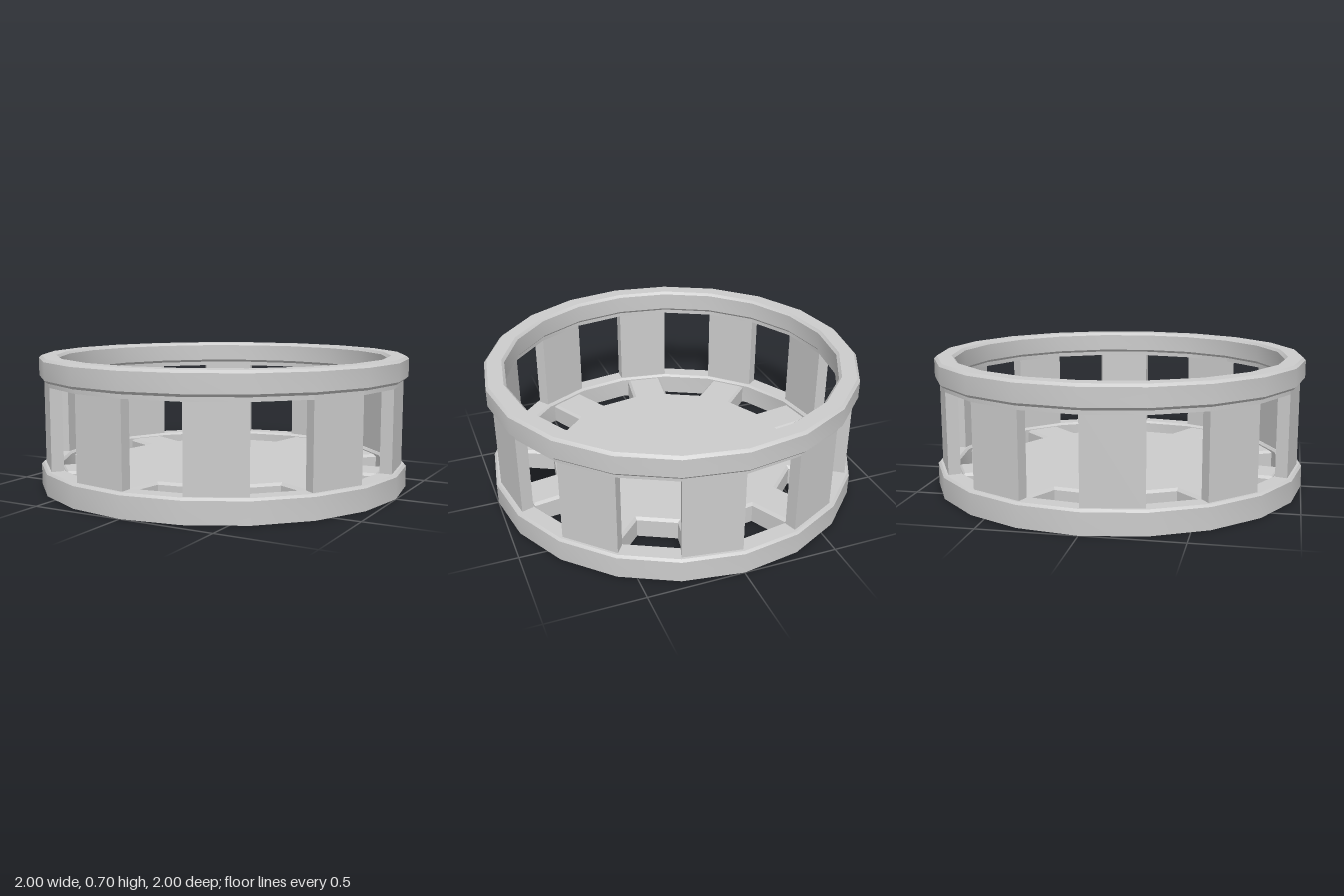
import * as THREE from 'three';
import { toCreasedNormals } from 'three/addons/utils/BufferGeometryUtils.js';

const SIDES = 20;
const STEP = (Math.PI * 2) / SIDES;
const material = new THREE.MeshStandardMaterial({ color: 0xcccccc });

// Angle 0 points to the front (+z) and grows towards +x; shapes use y = -z.
const polar = (r, k) => new THREE.Vector2(r * Math.sin(k * STEP), -r * Math.cos(k * STEP));

function part(name, geometry) {
  const mesh = new THREE.Mesh(toCreasedNormals(geometry, 0.4), material);
  mesh.name = name;
  return mesh;
}

// Faceted ring with a closed rectangular section; bevels on the top and, optionally, the bottom
function ring(name, inner, outer, y0, y1, topBevel, bottomBevel) {
  const t = topBevel, b = bottomBevel;
  const section = [
    [inner + b, y0], [outer - b, y0],
    ...(b ? [[outer, y0 + b]] : []),
    ...(t ? [[outer, y1 - t]] : []),
    [outer - t, y1], [inner + t, y1],
    ...(t ? [[inner, y1 - t]] : []),
    ...(b ? [[inner, y0 + b]] : []),
    [inner + b, y0],
  ].map(([x, y]) => new THREE.Vector2(x, y));
  return part(name, new THREE.LatheGeometry(section, SIDES));
}

// Floor disc with ten straight-sided spokes reaching the lower ring
function floor() {
  const hub = 0.67, reach = 0.885, bevel = 0.014, top = 0.112;
  const outline = [];
  for (let k = 0; k < SIDES; k += 2) {
    const a = polar(hub, k + 1), b = polar(hub, k + 2);
    const out = polar(reach - hub * Math.cos(STEP / 2), k + 1.5);
    outline.push(a, a.clone().add(out), b.clone().add(out), b);
  }
  const geometry = new THREE.ExtrudeGeometry(new THREE.Shape(outline), {
    depth: top - bevel, bevelEnabled: true, bevelSegments: 1,
    bevelSize: bevel, bevelThickness: bevel, bevelOffset: -bevel,
  });
  geometry.rotateX(-Math.PI / 2);
  // Flatten the lower bevel so the underside is level
  const p = geometry.attributes.position;
  for (let i = 0; i < p.count; i++) p.setY(i, Math.max(0, p.getY(i)));
  return part('floor', geometry);
}

// Upright wall panels on every second side
function wallPanels() {
  const group = new THREE.Group();
  group.name = 'wallPanels';
  const inner = 0.91, outer = 0.975;
  for (let k = 1; k < SIDES; k += 2) {
    const shape = new THREE.Shape([
      polar(inner, k), polar(outer, k), polar(outer, k + 1), polar(inner, k + 1),
    ]);
    const geometry = new THREE.ExtrudeGeometry(shape, { depth: 0.5, bevelEnabled: false });
    geometry.rotateX(-Math.PI / 2).translate(0, 0.1, 0);
    group.add(part('wallPanel', geometry));
  }
  return group;
}

export function createModel() {
  const model = new THREE.Group();
  model.name = 'slottedDrum';
  model.add(
    ring('lowerRing', 0.893, 1, 0, 0.125, 0.012, 0),
    ring('upperRing', 0.893, 1, 0.583, 0.705, 0.014, 0.014),
    ring('windowHeader', 0.91, 0.975, 0.56, 0.6, 0, 0),
    floor(),
    wallPanels(),
  );
  return model;
}
